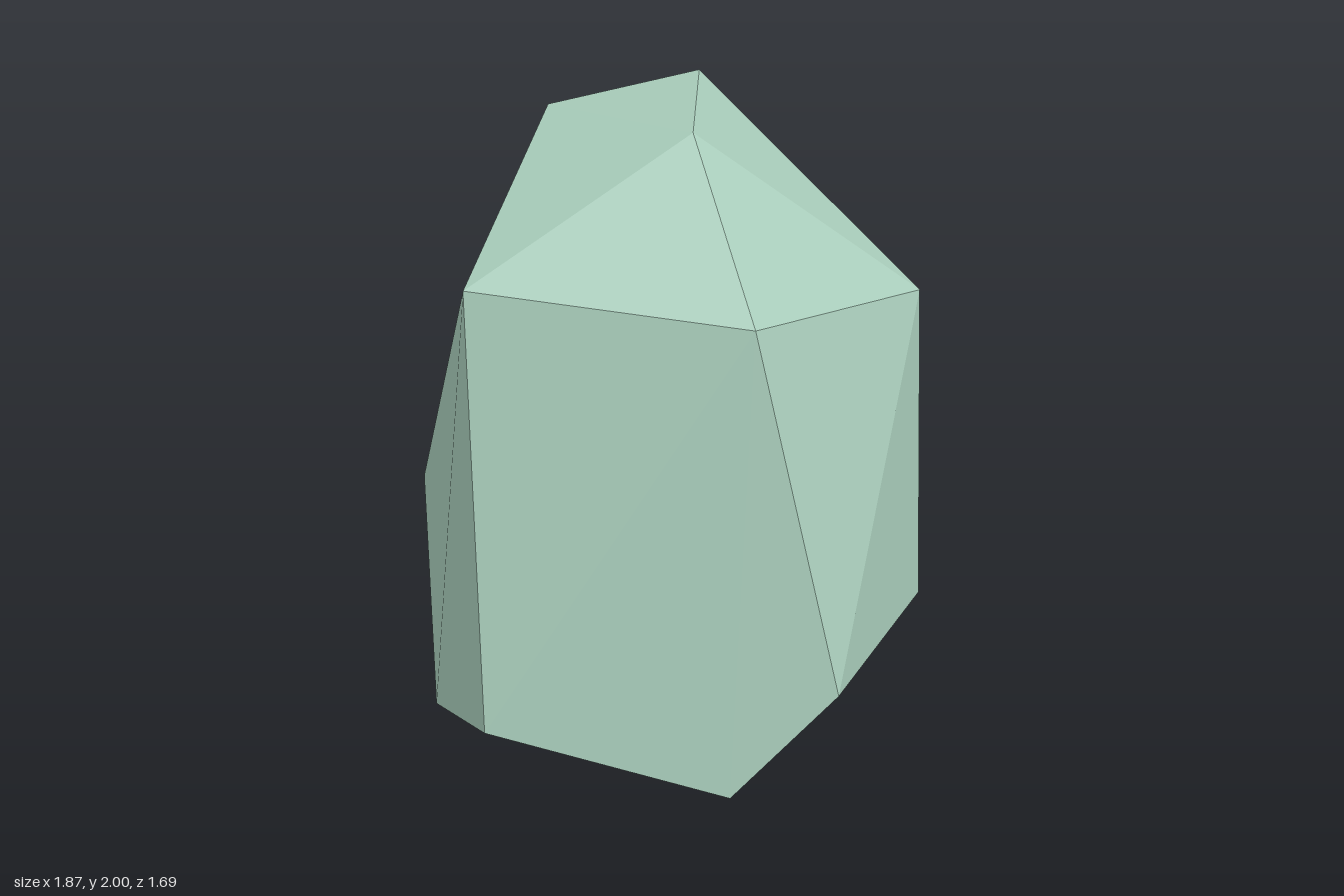
import * as THREE from 'three';
import { ConvexGeometry } from 'three/addons/geometries/ConvexGeometry.js';

// Faceted boulder: a convex hull over its corner points
export function createModel() {
  const stone = new THREE.MeshStandardMaterial({ color: 0xa8ccba });
  stone.name = 'paleGreenStone';
  stone.flatShading = true;

  const corners = [
    // crown
    [0.18, 2.0, 0.08], [0.07, 1.97, -0.43], [-0.32, 1.945, -0.11],
    // shoulders
    [0.47, 1.63, 0.495], [-0.38, 1.63, 0.51], [0.845, 1.47, -0.13],
    [0.42, 1.46, -0.65], [-0.315, 1.12, -0.835],
    // lower ring
    [0.79, 0.4, 0.55], [0.93, 0.13, -0.335], [-0.455, 0.13, -0.812],
    [-0.935, 0.265, -0.34], [-0.265, 0.24, 0.845],
    // base
    [-0.565, 0, 0.53], [0.49, 0, 0.68], [0.16, 0, -0.848],
  ].map((p) => new THREE.Vector3(...p));

  const boulder = new THREE.Mesh(new ConvexGeometry(corners), stone);
  boulder.name = 'boulder';

  const group = new THREE.Group();
  group.name = 'rock';
  group.add(boulder);
  return group;
}
